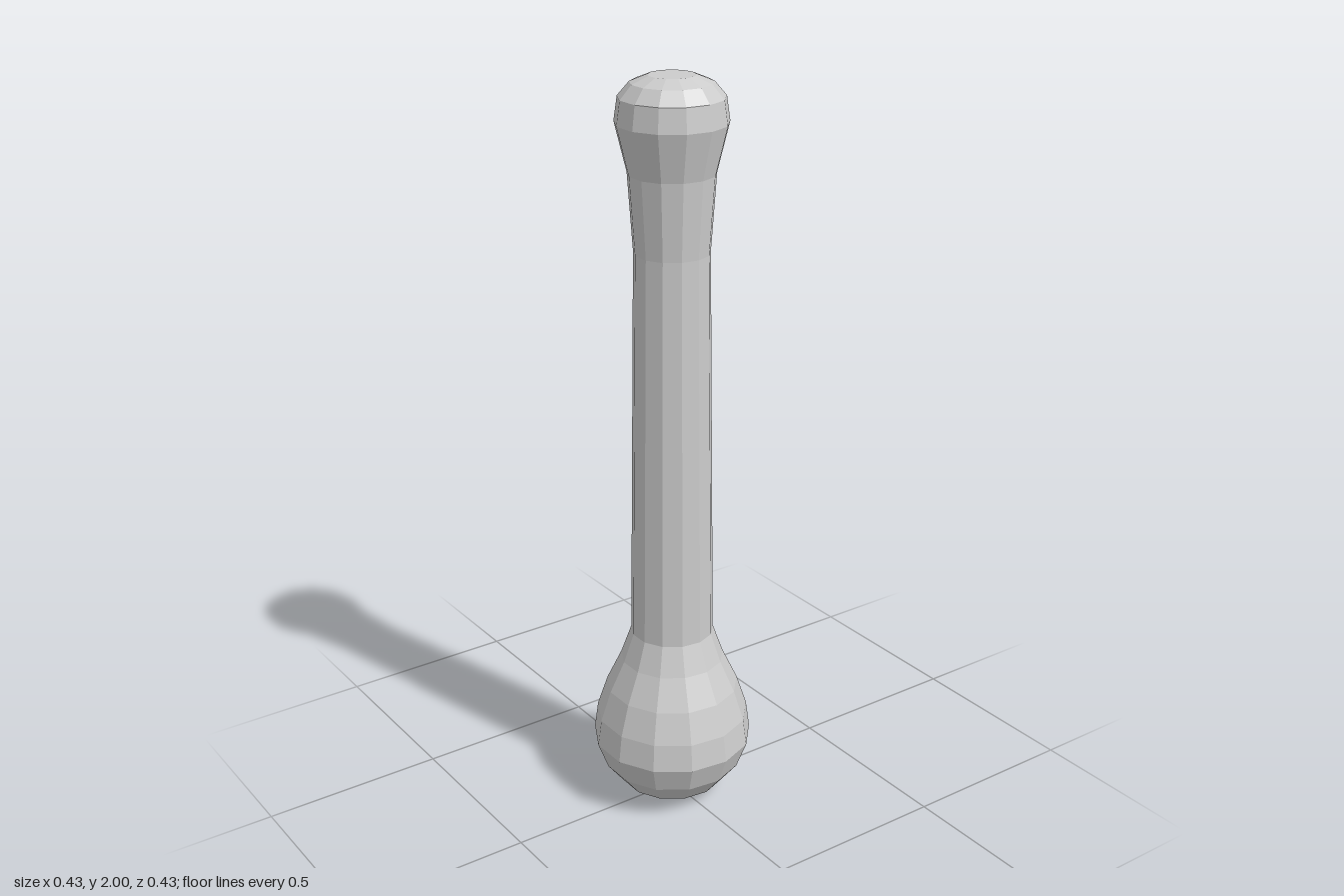
import * as THREE from 'three';

const SIDES = 13;

export function createModel() {
  const group = new THREE.Group();
  group.name = 'pestle';
  const material = new THREE.MeshStandardMaterial({ color: 0xcccccc, flatShading: true });

  // Radius and height, from the bulb's underside up to the end of the knob
  const profile = [
    [0, 0], [0.075, 0], [0.142, 0.04], [0.19, 0.1], [0.218, 0.175], [0.208, 0.25],
    [0.18, 0.335], [0.14, 0.42], [0.112, 0.5], // grinding bulb
    [0.098, 1.56], [0.112, 1.76], // tapered shaft and flare
    [0.143, 1.885], [0.134, 1.947], [0.104, 1.982], [0.06, 2], [0, 2], // knob
  ].map(([r, y]) => new THREE.Vector2(r, y));

  // One faceted turned body, with a corner pointing to +x
  const body = new THREE.Mesh(new THREE.LatheGeometry(profile, SIDES, Math.PI / 2), material);
  body.name = 'pestleBody';
  body.position.x = -0.003; // odd side count: centre the bounds
  group.add(body);
  return group;
}
